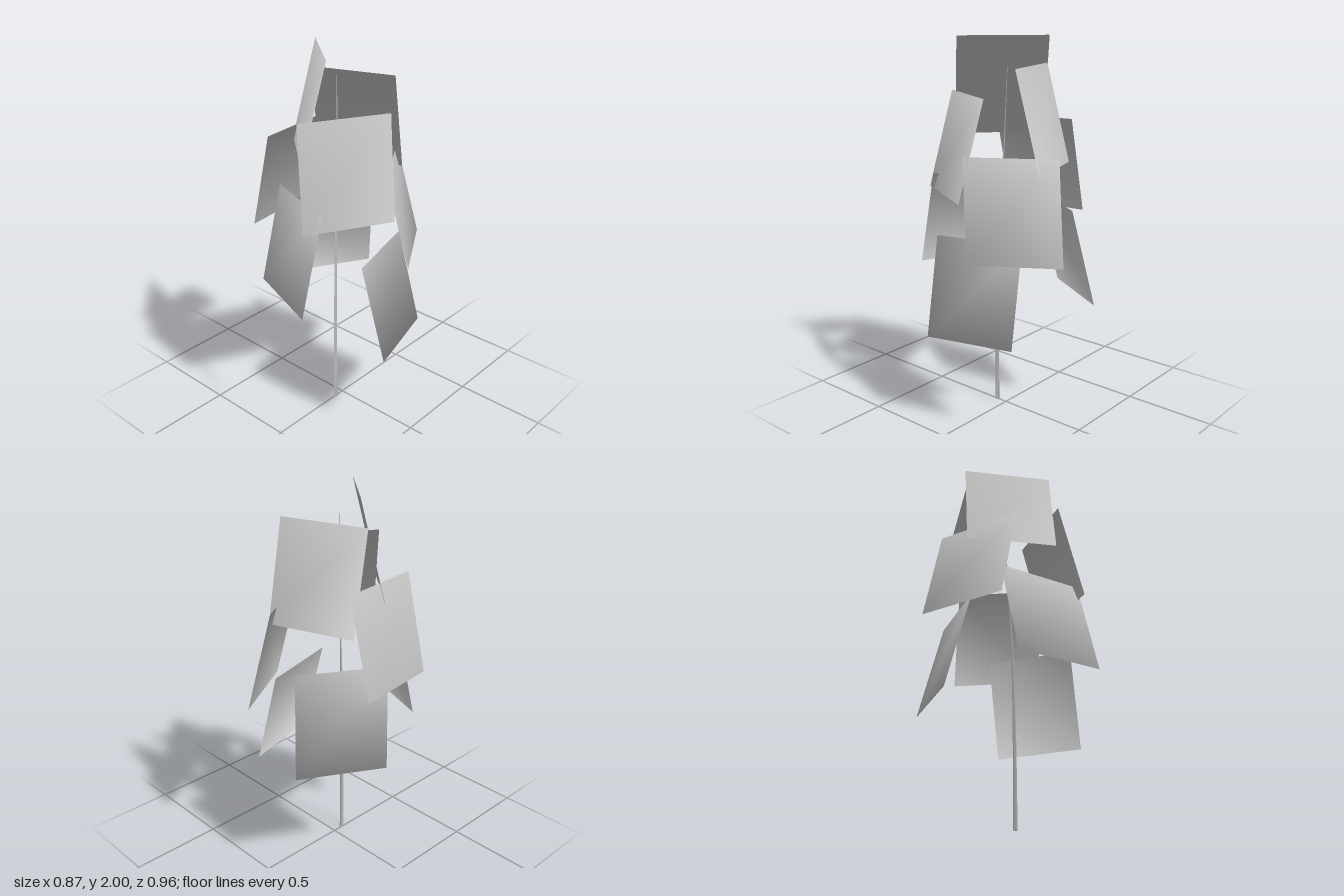
import * as THREE from 'three';

const gray = new THREE.MeshStandardMaterial({ color: 0xbcbcbc, side: THREE.DoubleSide });
gray.name = 'plain gray';

// Shared centre of the rounded foliage shading
const CENTRE = new THREE.Vector3(0, 0.92, 0.05);
const TOP = 2, STEP = 0.1427, DROP = 0.515;

// Each card from the top down: two ends of its upper edge and its outward flare, as [x, z]
const CARDS = [
  [[-0.253, -0.081], [0.111, 0.233], [-0.08, 0.095]],
  [[0.17, -0.2], [-0.276, -0.051], [-0.036, -0.125]],
  [[0.028, 0.349], [0.251, -0.071], [0.102, 0.079]],
  [[-0.304, -0.195], [-0.246, 0.276], [-0.128, 0.005]],
  [[0.304, 0.025], [0.053, -0.382], [0.083, -0.097]],
  [[-0.265, 0.187], [0.183, 0.349], [-0.021, 0.127]],
  [[-0.094, -0.36], [-0.329, 0.053], [-0.091, -0.088]],
  [[0.309, 0.203], [0.18, -0.256], [0.124, -0.036]],
];

// A flat flared card with outward-rounded normals
function leafCard([a, b, out], yTop) {
  const yLow = yTop - DROP;
  const corners = [
    new THREE.Vector3(a[0], yTop, a[1]),
    new THREE.Vector3(b[0], yTop, b[1]),
    new THREE.Vector3(a[0] + out[0], yLow, a[1] + out[1]),
    new THREE.Vector3(b[0] + out[0], yLow, b[1] + out[1]),
  ];
  const normals = corners.map((p) => p.clone().sub(CENTRE).normalize());
  const geo = new THREE.BufferGeometry().setFromPoints(corners);
  geo.setAttribute('normal', new THREE.Float32BufferAttribute(normals.flatMap((n) => n.toArray()), 3));
  geo.setIndex([0, 2, 1, 2, 3, 1]);
  return new THREE.Mesh(geo, gray);
}

// Thin three-sided stem, tapering and bending along a curve
function stem() {
  const height = 1.87;
  const curve = new THREE.CatmullRomCurve3([
    [0.003, 0, 0.062], [0.002, 0.5, 0.06], [-0.002, 1, 0.049],
    [-0.012, 1.4, 0.026], [-0.025, height, 0.011],
  ].map((p) => new THREE.Vector3(...p)));
  const geo = new THREE.CylinderGeometry(0.001, 0.013, height, 3, 10);
  geo.translate(0, height / 2, 0);
  const pos = geo.attributes.position;
  for (let i = 0; i < pos.count; i++) {
    const c = curve.getPointAt(THREE.MathUtils.clamp(pos.getY(i) / height, 0, 1));
    pos.setXYZ(i, pos.getX(i) + c.x, c.y, pos.getZ(i) + c.z);
  }
  geo.computeVertexNormals();
  return new THREE.Mesh(geo, gray);
}

export function createModel() {
  const model = new THREE.Group();
  model.name = 'cardPlant';

  const trunk = stem();
  trunk.name = 'stem';
  model.add(trunk);

  CARDS.forEach((card, i) => {
    const leaf = leafCard(card, TOP - i * STEP);
    leaf.name = `leafCard${i + 1}`;
    model.add(leaf);
  });
  return model;
}
